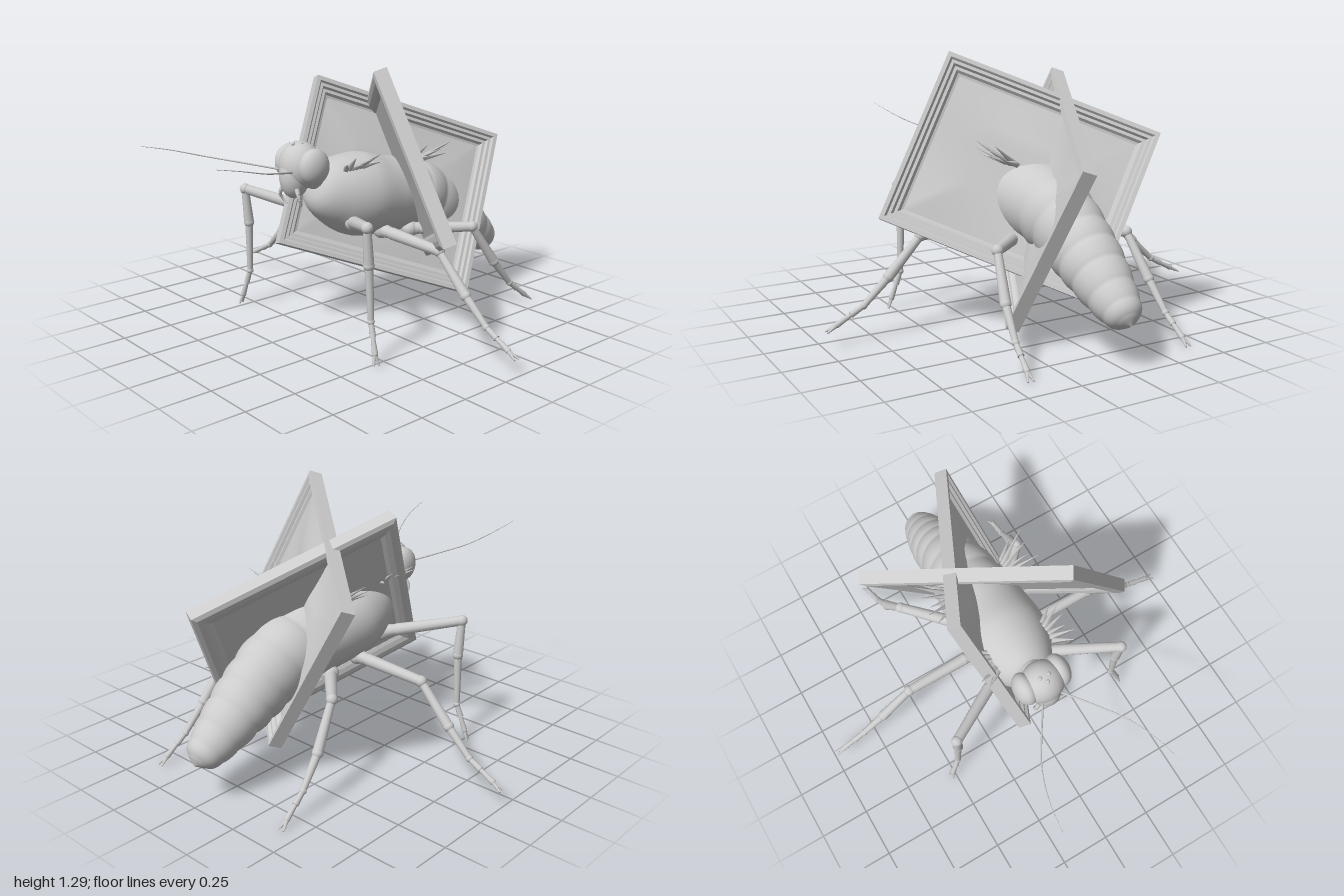
import * as THREE from 'three';
import { mergeGeometries } from 'three/addons/utils/BufferGeometryUtils.js';

const mat = new THREE.MeshStandardMaterial({ color: 0xcccccc });
const matThin = new THREE.MeshStandardMaterial({ color: 0xcccccc, side: THREE.DoubleSide });
const V = (x, y, z) => new THREE.Vector3(x, y, z);
const UP = V(0, 1, 0);

function add(parent, name, geo, material = mat) {
  const m = new THREE.Mesh(geo, material);
  m.name = name;
  parent.add(m);
  return m;
}

function ball(parent, name, pos, size, rotX = 0) {
  const m = add(parent, name, new THREE.SphereGeometry(1, 32, 24));
  m.position.set(...pos);
  m.scale.set(...size);
  m.rotation.x = rotX;
  return m;
}

// tapered rod between two points
function rod(a, b, ra, rb, sides = 12) {
  const d = b.clone().sub(a);
  const g = new THREE.CylinderGeometry(rb, ra, d.length(), sides);
  g.applyQuaternion(new THREE.Quaternion().setFromUnitVectors(UP, d.normalize()));
  const c = a.clone().add(b).multiplyScalar(0.5);
  return g.translate(c.x, c.y, c.z);
}

function knob(p, r) {
  return new THREE.SphereGeometry(r, 14, 10).translate(p.x, p.y, p.z);
}

// thorax and ringed abdomen as one loft: [z, y, half width, half height]
function bodyGeometry() {
  const rows = [
    [0.25, 0.735, 0, 0], [0.225, 0.725, 0.1, 0.1], [0.13, 0.69, 0.17, 0.165],
    [0, 0.65, 0.21, 0.205], [-0.15, 0.62, 0.205, 0.195], [-0.3, 0.6, 0.19, 0.185],
    [-0.45, 0.555, 0.167, 0.18], [-0.6, 0.47, 0.15, 0.165], [-0.72, 0.395, 0.14, 0.142],
    [-0.85, 0.305, 0.112, 0.112], [-0.95, 0.24, 0.075, 0.075], [-0.99, 0.212, 0, 0]];
  const spine = new THREE.CatmullRomCurve3(rows.map(r => V(0, r[1], r[0])), false, 'catmullrom');
  const radii = new THREE.CatmullRomCurve3(rows.map(r => V(r[2], r[3], 0)), false, 'catmullrom');
  const N = 180, M = 40, pos = [], idx = [];
  for (let i = 0; i <= N; i++) {
    const t = i / N, p = spine.getPoint(t), r = radii.getPoint(t), tan = spine.getTangent(t);
    const n = V(0, -tan.z, tan.y);
    const k = (t - 0.5) / 0.5 * 8;
    const s = k > 0 ? 0.96 + 0.06 * Math.pow(Math.abs(Math.sin(Math.PI * k)), 0.6) : 0.96 + 0.04 * Math.min(1, -k * 2);
    for (let j = 0; j < M; j++) {
      const a = j / M * Math.PI * 2, h = Math.sin(a) * r.y * s;
      pos.push(Math.cos(a) * r.x * s, p.y + n.y * h, p.z + n.z * h);
      if (i < N) {
        const j2 = (j + 1) % M, A = i * M + j, B = (i + 1) * M + j, C = (i + 1) * M + j2, D = i * M + j2;
        idx.push(A, B, C, A, C, D);
      }
    }
  }
  const g = new THREE.BufferGeometry();
  g.setAttribute('position', new THREE.Float32BufferAttribute(pos, 3));
  g.setIndex(idx);
  g.computeVertexNormals();
  return g;
}

// mitred moulding: profile of [inset, height] swept round a rectangle
function mouldingGeometry(w, h) {
  const prof = [[0, -0.028], [0, 0.035], [0.02, 0.035], [0.028, 0.024], [0.042, 0.024], [0.05, 0.01],
    [0.064, 0.01], [0.074, -0.004], [0.086, -0.008], [0.086, -0.016], [0.07, -0.026], [0.045, -0.035], [0.02, -0.036]];
  const signs = [[-1, -1], [1, -1], [1, 1], [-1, 1]], pos = [];
  const P = (c, j) => {
    const [d, z] = prof[j % prof.length], [sx, sy] = signs[c % 4];
    return [sx * (w / 2 - d), sy * (h / 2 - d), z];
  };
  for (let c = 0; c < 4; c++) for (let j = 0; j < prof.length; j++) {
    const a = P(c, j), b = P(c + 1, j), e = P(c + 1, j + 1), f = P(c, j + 1);
    pos.push(...a, ...b, ...e, ...a, ...e, ...f);
  }
  const g = new THREE.BufferGeometry();
  g.setAttribute('position', new THREE.Float32BufferAttribute(pos, 3));
  g.computeVertexNormals();
  return g;
}

// framed wing placed by three corners of its face
function framedWing(name, topLeft, topRight, bottomLeft, phase) {
  const u = topRight.clone().sub(topLeft), v = topLeft.clone().sub(bottomLeft);
  const w = u.length(), h = v.length();
  u.normalize();
  const n = u.clone().cross(v).normalize();
  v.copy(n).cross(u);
  const g = new THREE.Group();
  g.name = name;
  add(g, 'frameMoulding', mouldingGeometry(w, h));
  const pw = w - 0.16, ph = h - 0.16;
  // gently rippled face of the panel
  const face = new THREE.PlaneGeometry(pw, ph, 48, 36), p = face.attributes.position;
  for (let i = 0; i < p.count; i++) {
    const x = p.getX(i), y = p.getY(i);
    const edge = Math.min(1, 5 * Math.min(pw / 2 - Math.abs(x), ph / 2 - Math.abs(y)));
    const wave = Math.sin(x * 8 + 2 * Math.sin(y * 5) + phase) * 0.6 + Math.sin(y * 10 + x * 4) * 0.4;
    p.setZ(i, -0.008 + 0.014 * edge * (wave + 1));
  }
  face.computeVertexNormals();
  add(g, 'panelFace', face);
  add(g, 'panelBack', new THREE.PlaneGeometry(pw, ph).rotateY(Math.PI).translate(0, 0, -0.014));
  g.quaternion.setFromRotationMatrix(new THREE.Matrix4().makeBasis(u, v, n));
  g.position.copy(topRight).add(bottomLeft).multiplyScalar(0.5);
  return g;
}

// jointed leg: hip, knee, ankle, toe joint, foot tip
function legGeometry(points) {
  const [hip, knee, ankle, toe, tip] = points, parts = [];
  const on = (a, b, t) => a.clone().lerp(b, t);
  const elbow = on(knee, ankle, 0.08);
  parts.push(knob(hip, 0.042), rod(hip, on(hip, knee, 0.2), 0.036, 0.026), knob(on(hip, knee, 0.2), 0.03));
  parts.push(rod(on(hip, knee, 0.2), knee, 0.03, 0.024), knob(knee, 0.027));
  parts.push(rod(elbow, ankle, 0.019, 0.025), knob(ankle, 0.026));
  parts.push(rod(ankle, toe, 0.02, 0.014), knob(toe, 0.017));
  const s1 = on(toe, tip, 0.35), s2 = on(toe, tip, 0.72);
  parts.push(rod(toe, s1, 0.012, 0.015), rod(s1, s2, 0.01, 0.014), knob(s2, 0.014));
  // forked claw
  const d = tip.clone().sub(toe).normalize(), side = d.clone().cross(UP).normalize();
  for (const s of [-1, 1]) parts.push(rod(s2, tip.clone().addScaledVector(side, s * 0.014), 0.011, 0.004, 8));
  return mergeGeometries(parts);
}

// fan of flat pointed bristles at a wing root
function tuftGeometry(side, y, z, count, length) {
  const parts = [];
  for (let i = 0; i < count; i++) {
    const f = i / (count - 1) - 0.5, len = length * (0.75 + 0.35 * ((i * 5) % 3) / 2);
    const root = V(side * 0.15, y, z + f * 0.1);
    const dir = V(side * 0.85, 0.3 + 0.3 * ((i * 2) % 3) / 2, f * 1.3).normalize();
    parts.push(rod(root, root.clone().addScaledVector(dir, len), 0.016, 0.0005, 5));
  }
  return mergeGeometries(parts);
}

export function createModel() {
  const root = new THREE.Group();
  root.name = 'insect';
  add(root, 'body', bodyGeometry());

  // head
  const head = new THREE.Group();
  head.name = 'head';
  root.add(head);
  ball(head, 'skull', [0, 0.835, 0.32], [0.105, 0.112, 0.1]);
  ball(head, 'face', [0, 0.79, 0.355], [0.068, 0.105, 0.072]);
  ball(head, 'neck', [0, 0.77, 0.24], [0.06, 0.06, 0.06]);
  for (const [x, z] of [[0, 0.36], [-0.022, 0.33], [0.022, 0.33]]) ball(head, 'ocellus', [x, 0.94, z], [0.01, 0.01, 0.01]);

  const legs = {
    frontLeg: [[0.13, 0.55, 0.11], [0.46, 0.635, 0.315], [0.455, 0.46, 0.3], [0.465, 0.2, 0.295], [0.525, 0.012, 0.315]],
    middleLeg: [[0.13, 0.48, -0.07], [0.52, 0.465, -0.07], [0.685, 0.295, -0.075], [0.81, 0.18, -0.08], [0.99, 0.085, -0.08]],
    hindLeg: [[0.13, 0.45, -0.26], [0.345, 0.465, -0.48], [0.38, 0.265, -0.61], [0.395, 0.13, -0.72], [0.41, 0.012, -0.87]]
  };
  const feeler = [[0.045, 0.82, 0.4], [0.14, 0.855, 0.54], [0.225, 0.89, 0.68], [0.28, 0.935, 0.84], [0.3, 0.965, 0.97]];
  const jaw = [[0.05, 0.74, 0.38], [0.072, 0.7, 0.385], [0.068, 0.67, 0.37], [0.05, 0.652, 0.36]];

  for (const s of [1, -1]) {
    const side = s > 0 ? 'left' : 'right';
    const flip = pts => pts.map(p => V(s * p[0], p[1], p[2]));
    ball(head, side + 'Eye', [s * 0.09, 0.84, 0.31], [0.054, 0.085, 0.08]);
    // tapered chains for the feeler and the jaw
    const chain = (pts, n, r) => {
      const c = new THREE.CatmullRomCurve3(flip(pts)).getPoints(n);
      return mergeGeometries(c.slice(1).map((p, i) => rod(c[i], p, r * (1 - 0.8 * i / n), r * (1 - 0.8 * (i + 1) / n), 8)));
    };
    add(head, side + 'Antenna', chain(feeler, 20, 0.005));
    add(head, side + 'Mandible', chain(jaw, 10, 0.012));
    for (const name in legs) add(root, side + ' ' + name, legGeometry(flip(legs[name])));
    add(root, side + 'FrontTuft', tuftGeometry(s, 0.82, 0.12, 6, 0.12), matThin);
    add(root, side + 'RearTuft', tuftGeometry(s, 0.8, -0.26, 7, 0.17), matThin);
  }

  // two crossing framed panels in place of wings
  root.add(framedWing('leftFramedWing', V(0.285, 1.285, 0.09), V(-0.485, 0.92, -0.525), V(0.675, 0.54, 0.025), 0));
  root.add(framedWing('rightFramedWing', V(-0.27, 1.187, 0), V(0.133, 0.84, -0.875), V(-0.125, 0.445, 0.38), 2));
  return root;
}
